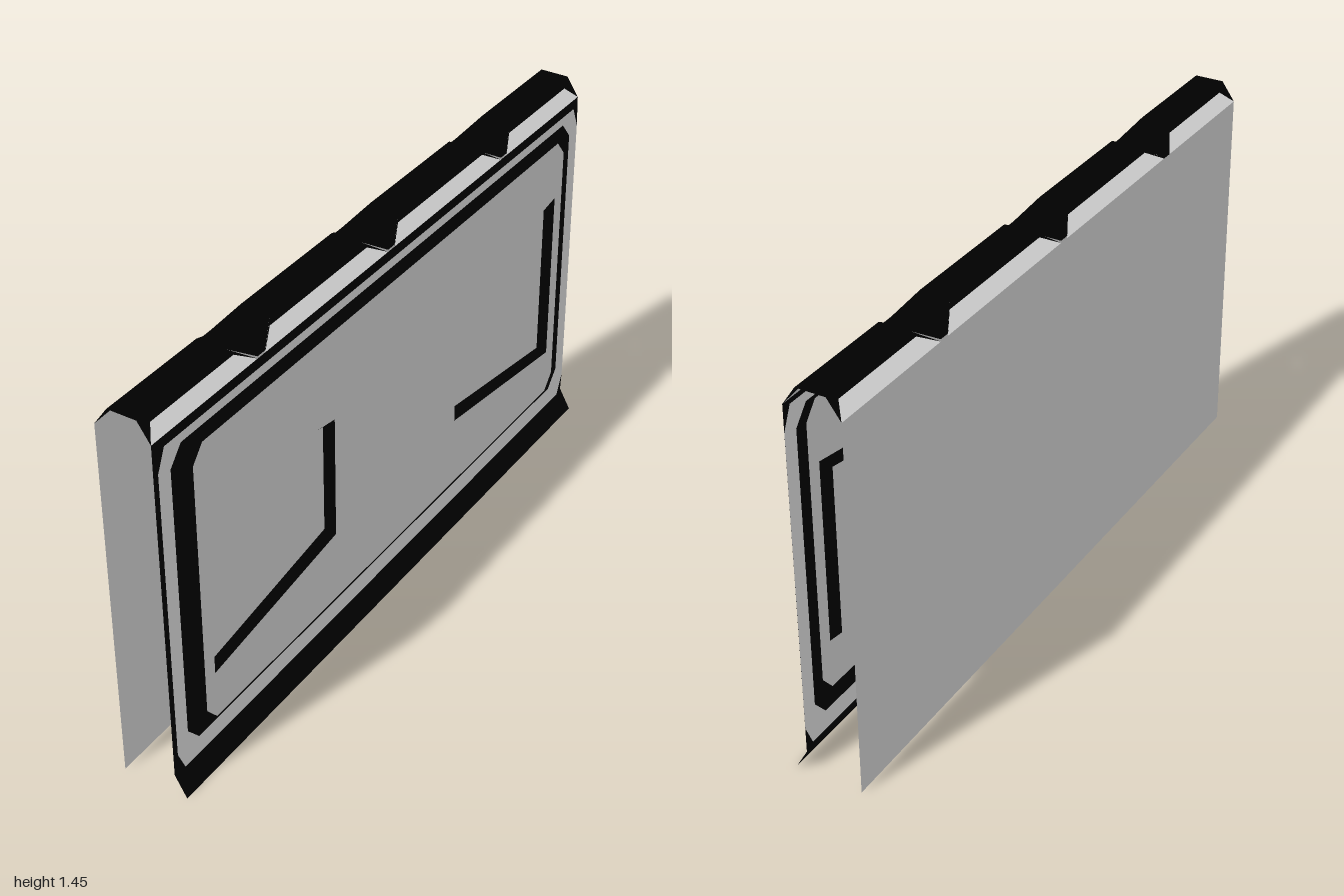
import * as THREE from 'three';

const mat = (name, color) =>
  new THREE.MeshStandardMaterial({ name, color, side: THREE.DoubleSide });

// Rectangle with cut corners, counter-clockwise: half width, bottom, top, cut in x and y
function cutRect(w, y0, y1, cx, cy) {
  return [[-w + cx, y0], [w - cx, y0], [w, y0 + cy], [w, y1 - cy],
    [w - cx, y1], [-w + cx, y1], [-w, y1 - cy], [-w, y0 + cy]];
}

const at = (loop, z) => loop.map(([x, y]) => [x, y, z]);

// Flat-shaded faces from a list of convex polygons
function faces(polys) {
  const pos = [];
  for (const p of polys) {
    for (let i = 1; i < p.length - 1; i++) pos.push(...p[0], ...p[i], ...p[i + 1]);
  }
  const g = new THREE.BufferGeometry();
  g.setAttribute('position', new THREE.Float32BufferAttribute(pos, 3));
  g.computeVertexNormals();
  return g;
}

// Band of quads joining two loops of equal length
function band(outer, inner) {
  return faces(outer.map((p, i) => {
    const j = (i + 1) % outer.length;
    return [p, outer[j], inner[j], inner[i]];
  }));
}

// Flat plate at depth z with optional holes
function plate(loop, z, holes = []) {
  const toV = (l) => l.map(([x, y]) => new THREE.Vector2(x, y));
  const s = new THREE.Shape(toV(loop));
  holes.forEach((h) => s.holes.push(new THREE.Path(toV(h))));
  return new THREE.ShapeGeometry(s).translate(0, 0, z);
}

export function createModel() {
  const grey = mat('panel grey', 0xdcdcdc);
  const light = mat('frame grey', 0xe8e8e8);
  const black = mat('trim black', 0x000000);

  const wall = new THREE.Group();
  wall.name = 'wallPanel';
  const add = (name, geometry, material) => {
    const m = new THREE.Mesh(geometry, material);
    m.name = name;
    wall.add(m);
  };

  const W = 1.29, back = -0.125, base = 0.08, frameZ = 0.089, panelZ = 0.11;
  const shoulder = 1.38, crest = 1.45;

  // Plain back sheet
  add('backSheet', faces([[[W, 0, back], [-W, 0, back], [-W, shoulder, back], [W, shoulder, back]]]), grey);

  // Sloping skirt along the foot of the front
  add('footSkirt', faces([[[-W, 0, 0.125], [W, 0, 0.125], [W, 0.08, base], [-W, 0.08, base]]]), black);

  // Flat frame with a dark chamfer outside it
  const frameOuter = cutRect(1.278, 0.083, 1.353, 0.035, 0.08);
  const frameInner = cutRect(1.22, 0.155, 1.32, 0.055, 0.065);
  add('frameChamfer', band(at(cutRect(W, 0.08, shoulder, 0, 0), base), at(frameOuter, frameZ)), black);
  add('frame', plate(frameOuter, frameZ, [frameInner]), light);

  // Raised centre panel with two tapered recesses
  const panel = cutRect(1.142, 0.195, 1.285, 0.05, 0.06);
  add('panelBevel', band(at(frameInner, frameZ), at(panel, panelZ)), black);

  const d = 0.028;
  const mirror = (l) => l.map(([x, y]) => [-x, y]).reverse();
  const rim = [[0.39, 0.472], [1.09, 0.378], [1.09, 1.06], [0.39, 0.945]];
  const floor = [[0.39 + d, 0.5], [1.09 - d, 0.404], [1.09 - d, 1.034], [0.39 + d, 0.92]];
  add('centrePanel', plate(panel, panelZ, [rim, mirror(rim)]), grey);
  for (const [side, f] of [['left', (l) => l], ['right', mirror]]) {
    add(side + 'RecessWalls', band(at(f(rim), panelZ), at(f(floor), panelZ - d)), black);
    add(side + 'RecessFloor', plate(f(floor), panelZ - d), grey);
  }

  // Crest in four lengths: light lower slopes, dark cap, V notches between
  const notches = [-0.74, 0, 0.74], gap = 0.02, flare = 0.115, low = 1.388;
  const zb = -0.075, zf = 0.033, lip = 1.424;
  const slopes = [], dark = [];
  for (let i = 0; i < 4; i++) {
    const first = i === 0, last = i === 3;
    // ends of this length at the shoulder (a, b), lip (ma, mb) and top (ta, tb)
    const a = first ? -W : notches[i - 1] + gap;
    const b = last ? W : notches[i] - gap;
    const ma = a + (first ? 0.045 : 0.075), mb = b - (last ? 0.045 : 0.075);
    const ta = first ? -W : notches[i - 1] + flare;
    const tb = last ? W : notches[i] - flare;
    for (const [z0, zm, z1] of [[base, 0.046, zf], [back, -0.086, zb]]) {
      slopes.push([[a, shoulder, z0], [b, shoulder, z0], [mb, lip, zm], [ma, lip, zm]]);
      dark.push([[ma, lip, zm], [mb, lip, zm], [tb, crest, z1], [ta, crest, z1]]);
      dark.push([[a, shoulder, z0], [ma, lip, zm], [ta, crest, z1]]);
      dark.push([[b, shoulder, z0], [tb, crest, z1], [mb, lip, zm]]);
    }
    // top
    dark.push([[ta, crest, zf], [tb, crest, zf], [tb, crest, zb], [ta, crest, zb]]);
    // notch sides and bottom
    if (!first) dark.push([[a, low, back], [a, low, base], [ta, crest, zf], [ta, crest, zb]]);
    if (!last) {
      const c = notches[i] + gap;
      dark.push([[b, low, base], [b, low, back], [tb, crest, zb], [tb, crest, zf]]);
      dark.push([[b, low, base], [c, low, base], [c, low, back], [b, low, back]]);
    }
  }
  add('crestSlopes', faces(slopes), light);
  add('crestCap', faces(dark), black);

  // The wall stands diagonally
  wall.rotation.y = Math.PI / 4;
  const model = new THREE.Group();
  model.name = 'diagonalWall';
  model.add(wall);
  return model;
}
